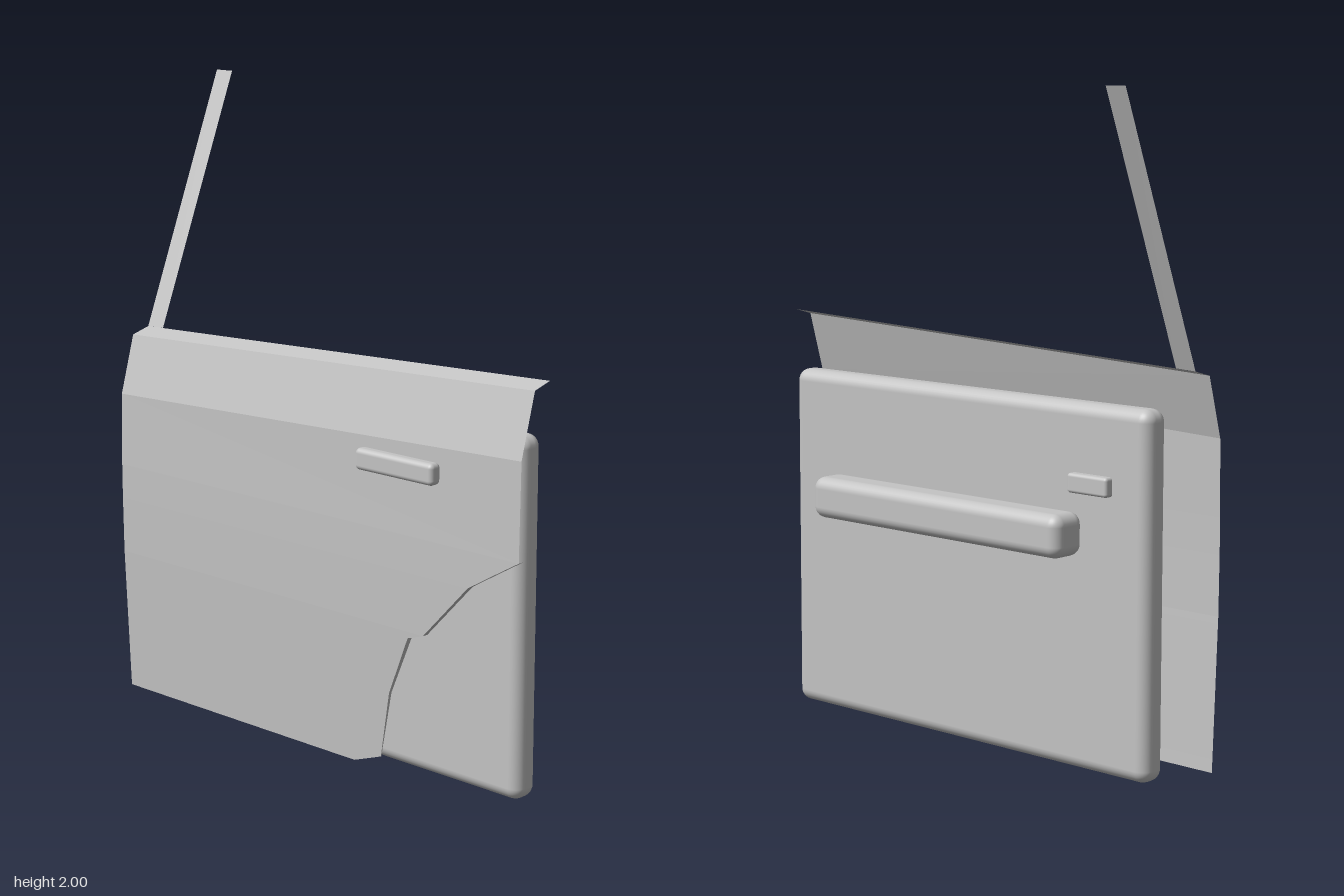
import * as THREE from 'three';
import { RoundedBoxGeometry } from 'three/addons/geometries/RoundedBoxGeometry.js';

const grey = new THREE.MeshStandardMaterial({ color: 0xc4c4c4, side: THREE.DoubleSide });
grey.name = 'light grey';

// Flat-faceted sheet through a list of [pointA, pointB] rows
function sheet(name, rows) {
  const pos = [];
  for (let i = 0; i < rows.length - 1; i++) {
    const [a, b] = rows[i], [c, d] = rows[i + 1];
    pos.push(...a, ...b, ...c, ...b, ...d, ...c);
  }
  const geo = new THREE.BufferGeometry();
  geo.setAttribute('position', new THREE.Float32BufferAttribute(pos, 3));
  geo.computeVertexNormals();
  const mesh = new THREE.Mesh(geo, grey);
  mesh.name = name;
  return mesh;
}

// Rounded block given by its limits on each axis
function block(name, [x0, x1], [y0, y1], [z0, z1], radius) {
  const geo = new RoundedBoxGeometry(x1 - x0, y1 - y0, z1 - z0, 4, radius);
  const mesh = new THREE.Mesh(geo, grey);
  mesh.position.set((x0 + x1) / 2, (y0 + y1) / 2, (z0 + z1) / 2);
  mesh.name = name;
  return mesh;
}

export function createModel() {
  const door = new THREE.Group();
  door.name = 'door';
  const back = -0.825, inner = -0.178;

  // Outer skin: x, y at front edge, y at back edge, z of front edge
  const profile = [
    [-0.178, 0.02, 0.02, 0.18],
    [-0.18, 0.06, 0.06, 0.29],
    [-0.189, 0.27, 0.27, 0.33],
    [-0.197, 0.46, 0.46, 0.41],
    [-0.198, 0.48, 0.48, 0.47],
    [-0.2, 0.66, 0.66, 0.64],
    [-0.2, 0.72, 0.72, 0.74],
    [-0.2, 0.77, 0.77, 0.825],
    [-0.195, 1.06, 1.0, 0.825],
    [-0.142, 1.25, 1.185, 0.825],
    [-0.077, 1.268, 1.203, 0.825],
  ];
  door.add(sheet('outerSkin', profile.map(([x, yf, yb, z]) => [[x, yb, back], [x, yf, z]])));

  // Narrow return lip along the wheel arch
  door.add(sheet('archLip', profile.slice(0, 8).map(([x, y, , z]) => [[x, y, z], [inner, y, z]])));

  // Slanted window post at the rear edge
  door.add(sheet('windowPost', [
    [[-0.077, 1.203, back], [-0.077, 1.206, -0.755]],
    [[0.24, 2, back], [0.24, 2, -0.755]],
  ]));

  // Inner trim and handles
  door.add(block('innerPanel', [-0.078, 0.016], [0, 1.09], [-0.733, 0.733], 0.038));
  door.add(block('armrest', [0, 0.126], [0.642, 0.772], [-0.487, 0.543], 0.036));
  door.add(block('innerLatch', [0, 0.043], [0.829, 0.887], [-0.602, -0.451], 0.01));
  door.add(block('outerHandle', [-0.245, -0.202], [0.945, 1.01], [0.24, 0.54], 0.015));
  return door;
}
